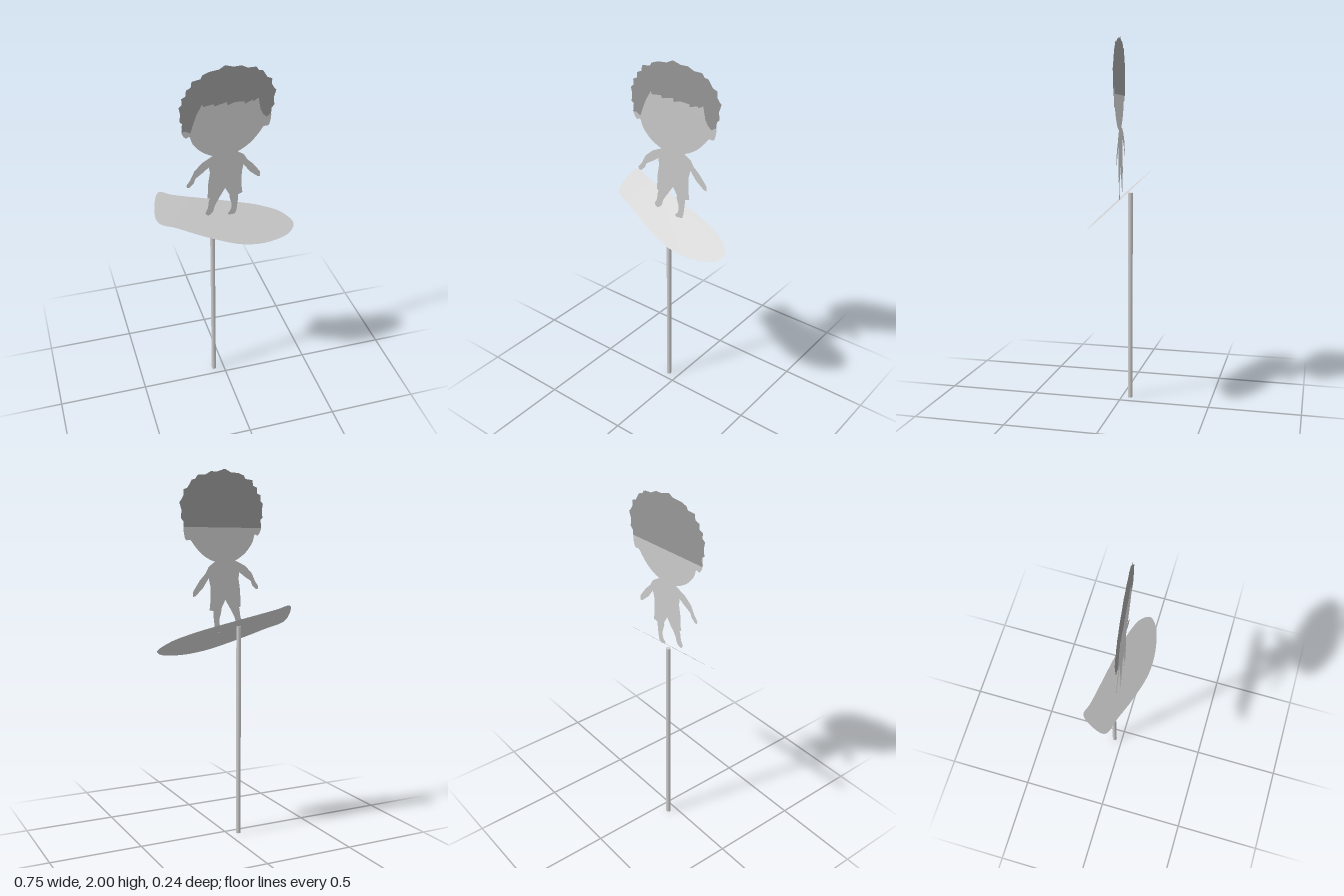
import * as THREE from 'three';

const lightGrey = new THREE.MeshStandardMaterial({ color: 0xcccccc, side: THREE.DoubleSide });
lightGrey.name = 'lightGrey';
const hairGrey = new THREE.MeshStandardMaterial({ color: 0x999999, side: THREE.DoubleSide });
hairGrey.name = 'hairGrey';

const toPoints = (pairs) => pairs.map(([x, y]) => new THREE.Vector2(x, y));

// Smooth closed outline through a few points
function smoothShape(pairs, divisions) {
  const curve = new THREE.CatmullRomCurve3(
    pairs.map(([x, y]) => new THREE.Vector3(x, y, 0)), true, 'centripetal');
  return new THREE.Shape(curve.getPoints(divisions).slice(0, -1).map((p) => new THREE.Vector2(p.x, p.y)));
}

function addSheet(parent, name, shape, material, z = 0) {
  const mesh = new THREE.Mesh(new THREE.ShapeGeometry(shape), material);
  mesh.name = name;
  mesh.position.z = z;
  parent.add(mesh);
  return mesh;
}

export function createModel() {
  const model = new THREE.Group();
  model.name = 'surferOnPole';

  // Flat cut-out figure, turned slightly about the vertical
  const figure = new THREE.Group();
  figure.name = 'figure';
  figure.rotation.y = 0.12;
  model.add(figure);

  // Head with ears
  addSheet(figure, 'head', smoothShape([
    [0, 1.505], [0.07, 1.518], [0.14, 1.555], [0.19, 1.605], [0.213, 1.632], [0.238, 1.632],
    [0.25, 1.665], [0.252, 1.70], [0.225, 1.78], [0.16, 1.88], [0, 1.93], [-0.16, 1.88],
    [-0.21, 1.78], [-0.235, 1.70], [-0.232, 1.675], [-0.213, 1.65], [-0.195, 1.655],
    [-0.18, 1.615], [-0.135, 1.56], [-0.07, 1.52],
  ], 80), lightGrey);

  // Tousled hair outline, from left sideburn over the crown to right sideburn
  const crown = [
    [-0.235, 1.69], [-0.23, 1.735], [-0.243, 1.745], [-0.238, 1.785], [-0.245, 1.82], [-0.228, 1.835],
    [-0.23, 1.865], [-0.207, 1.875], [-0.205, 1.905], [-0.18, 1.915], [-0.175, 1.945], [-0.13, 1.95],
    [-0.12, 1.968], [-0.085, 1.98], [-0.035, 1.983], [0, 2], [0.045, 1.985], [0.085, 1.985],
    [0.12, 1.967], [0.165, 1.965], [0.178, 1.945], [0.2, 1.94], [0.225, 1.9], [0.25, 1.89],
    [0.25, 1.86], [0.262, 1.84], [0.275, 1.825], [0.262, 1.785], [0.267, 1.745], [0.252, 1.73], [0.25, 1.70],
  ];
  const fringe = [
    [0.225, 1.685], [0.205, 1.705], [0.19, 1.735], [0.178, 1.80], [0.15, 1.785], [0.145, 1.795],
    [0.10, 1.78], [0.10, 1.795], [0.05, 1.80], [0.01, 1.79], [0.005, 1.808], [-0.06, 1.797],
    [-0.065, 1.81], [-0.12, 1.805], [-0.125, 1.82], [-0.155, 1.77], [-0.175, 1.72], [-0.19, 1.675], [-0.215, 1.69],
  ];
  addSheet(figure, 'hairFront', new THREE.Shape(toPoints([...crown, ...fringe])), hairGrey, 0.003);
  addSheet(figure, 'hairBack', new THREE.Shape(toPoints(crown)), hairGrey, -0.003);

  // Neck, torso, arms and shorts
  addSheet(figure, 'body', new THREE.Shape(toPoints([
    [-0.035, 1.515], [-0.06, 1.52], [-0.125, 1.49], [-0.17, 1.45], [-0.195, 1.40], [-0.215, 1.375],
    [-0.213, 1.36], [-0.2, 1.357], [-0.175, 1.38], [-0.165, 1.405], [-0.125, 1.43], [-0.09, 1.455],
    [-0.085, 1.42], [-0.095, 1.36], [-0.1, 1.27], [-0.065, 1.255], [-0.035, 1.255], [0, 1.31],
    [0.03, 1.255], [0.065, 1.25], [0.1, 1.26], [0.095, 1.30], [0.095, 1.39], [0.105, 1.43],
    [0.14, 1.38], [0.185, 1.34], [0.203, 1.335], [0.2, 1.365], [0.16, 1.42], [0.125, 1.455],
    [0.105, 1.49], [0.06, 1.52], [0.035, 1.515], [0.03, 1.535], [-0.03, 1.535],
  ])), lightGrey, -0.006);

  // Legs with feet
  addSheet(figure, 'rightLeg', smoothShape([
    [-0.085, 1.27], [-0.1, 1.21], [-0.113, 1.18], [-0.097, 1.163], [-0.072, 1.18], [-0.06, 1.215], [-0.035, 1.265],
  ], 28), lightGrey, -0.004);
  addSheet(figure, 'leftLeg', smoothShape([
    [0.025, 1.265], [0.037, 1.20], [0.03, 1.165], [0.015, 1.145], [0.045, 1.132], [0.06, 1.145],
    [0.07, 1.195], [0.07, 1.265],
  ], 28), lightGrey, -0.004);

  // Surfboard: outline laid onto a tilted plane
  const board = addSheet(model, 'surfboard', smoothShape([
    [-0.335, 1.275], [-0.265, 1.255], [0, 1.195], [0.22, 1.14], [0.33, 1.095], [0.375, 1.05],
    [0.345, 1.023], [0.22, 1.006], [0.065, 1.02], [-0.12, 1.075], [-0.28, 1.135], [-0.365, 1.165],
    [-0.38, 1.19], [-0.36, 1.255],
  ], 70), lightGrey);
  const pos = board.geometry.attributes.position;
  for (let i = 0; i < pos.count; i++) {
    pos.setZ(i, (1.134 - 0.117 * pos.getX(i) - pos.getY(i)) / 0.875);
  }
  board.geometry.computeVertexNormals();

  // Support pole
  const pole = new THREE.Mesh(new THREE.CylinderGeometry(0.013, 0.013, 1.165, 16), lightGrey);
  pole.name = 'pole';
  pole.position.set(-0.061, 0.5825, -0.047);
  model.add(pole);

  return model;
}
